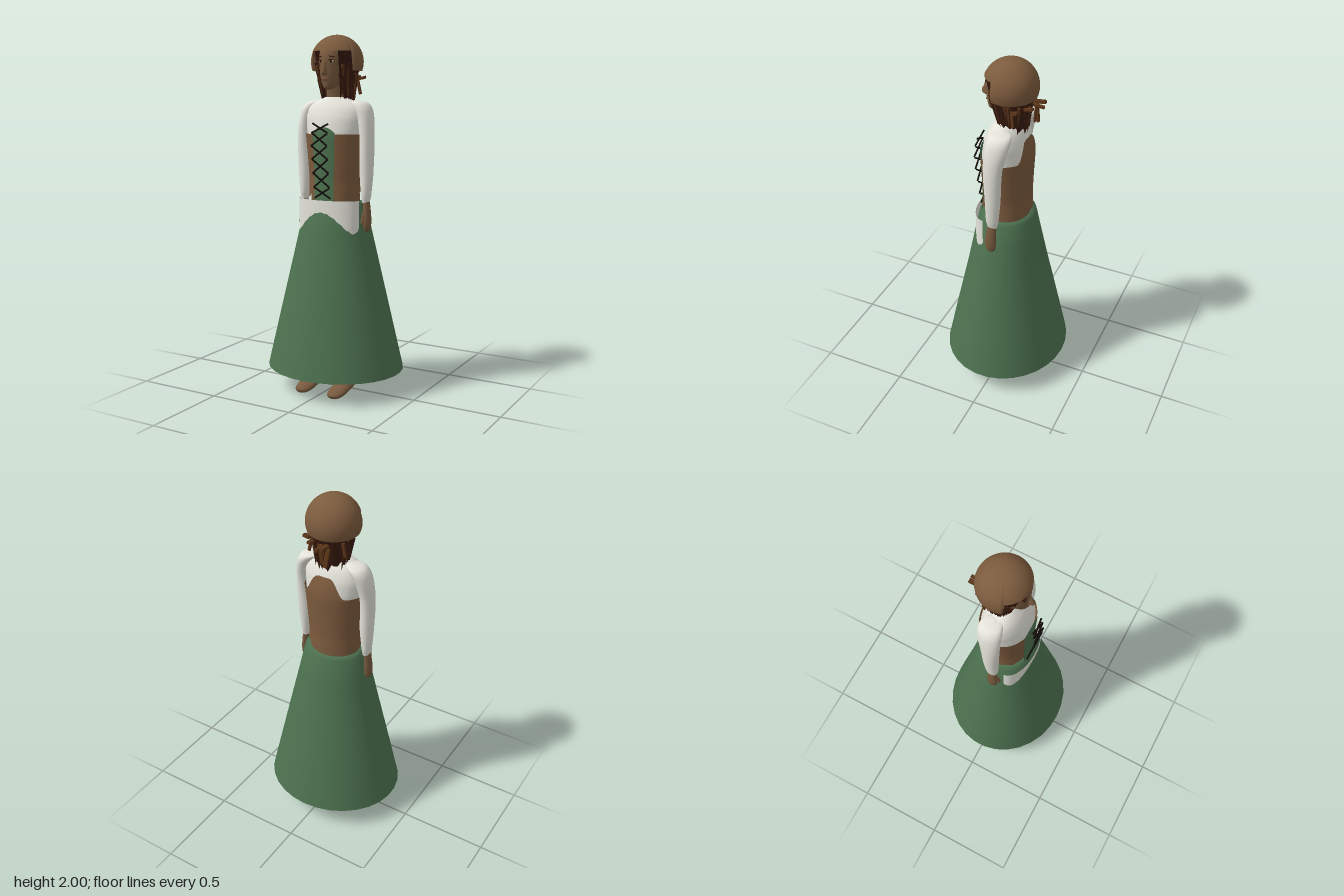
import * as THREE from 'three';
import { mergeVertices } from 'three/addons/utils/BufferGeometryUtils.js';

const mat = (name, color, side = THREE.FrontSide) => {
  const m = new THREE.MeshStandardMaterial({ color, side });
  m.name = name;
  return m;
};

// Smooth surface from a rule f(u, v) -> [x, y, z]; u runs right, v runs up
function grid(f, nu, nv) {
  const pos = [], idx = [];
  for (let j = 0; j <= nv; j++) for (let i = 0; i <= nu; i++) pos.push(...f(i / nu, j / nv));
  for (let j = 0; j < nv; j++) for (let i = 0; i < nu; i++) {
    const a = j * (nu + 1) + i, b = a + nu + 1;
    idx.push(a, a + 1, b + 1, a, b + 1, b);
  }
  const g = new THREE.BufferGeometry();
  g.setAttribute('position', new THREE.Float32BufferAttribute(pos, 3));
  g.setIndex(idx);
  const m = mergeVertices(g, 1e-5);
  m.computeVertexNormals();
  return m;
}

// Loft through horizontal ellipses [y, x, z, rx, rz], listed upwards
function loft(rows, sides = 20, steps = 4) {
  const mid = new THREE.CatmullRomCurve3(rows.map(r => new THREE.Vector3(r[1], r[0], r[2])));
  const rad = new THREE.SplineCurve(rows.map(r => new THREE.Vector2(r[3], r[4])));
  return grid((u, v) => {
    const c = mid.getPoint(v), r = rad.getPoint(v), a = u * Math.PI * 2;
    return [c.x + Math.max(r.x, 0) * Math.sin(a), c.y, c.z + Math.max(r.y, 0) * Math.cos(a)];
  }, sides, (rows.length - 1) * steps);
}

// Torso half-width and half-depth by height
const TORSO = [[1.0, .15, .13], [1.1, .14, .125], [1.2, .137, .12], [1.35, .15, .125],
  [1.46, .162, .13], [1.55, .172, .112], [1.61, .16, .085], [1.64, .11, .06], [1.66, .055, .045]];
function torso(y) {
  let i = 0;
  while (i < TORSO.length - 2 && y > TORSO[i + 1][0]) i++;
  const [a, b] = [TORSO[i], TORSO[i + 1]], t = (y - a[0]) / (b[0] - a[0]);
  return [a[1] + (b[1] - a[1]) * t, a[2] + (b[2] - a[2]) * t];
}
// Strip around the torso between angles, with bottom and top heights by angle
const wrap = (a0, a1, bottom, top, gap, nu, nv) => grid((u, v) => {
  const a = a0 + (a1 - a0) * u, y = bottom(a) + (top(a) - bottom(a)) * v, [rx, rz] = torso(y);
  return [(rx + gap) * Math.sin(a), y, (rz + gap) * Math.cos(a)];
}, nu, nv);

export function createModel() {
  const model = new THREE.Group();
  const TAU = Math.PI * 2, D = THREE.DoubleSide;
  const skin = mat('skin', 0x785a3e), leather = mat('leather', 0x7c5b3d, D), green = mat('green cloth', 0x4d7250, D);
  const white = mat('white linen', 0xe4e3da, D), hair = mat('dark hair', 0x34180d, D), strand = mat('light hair', 0x5c3519);
  const lace = mat('black lace', 0x120d09), eyeWhite = mat('eye white', 0xb9a88f), lip = mat('lips', 0x6a4434);
  let seed = 7;
  const rnd = () => (seed = (seed * 16807) % 2147483647) / 2147483647;
  const add = (name, geo, m, x = 0, y = 0, z = 0) => {
    const mesh = new THREE.Mesh(geo, m);
    mesh.name = name;
    mesh.position.set(x, y, z);
    model.add(mesh);
    return mesh;
  };
  const ball = (name, m, x, y, z, sx, sy, sz) =>
    add(name, new THREE.SphereGeometry(1, 14, 10), m, x, y, z).scale.set(sx, sy, sz);

  // Skirt, open below, with a lip turned in at the waist
  const skirt = [[.397, .357, .13], [.318, .285, .465], [.258, .228, .72], [.21, .188, .92], [.174, .157, 1.075], [.14, .125, 1.085]];
  add('skirt', grid((u, v) => {
    const [rx, rz, y] = skirt[Math.round(v * 5)], a = u * TAU;
    return [rx * Math.sin(a), y, rz * Math.cos(a)];
  }, 30, 5), green);

  // Apron hanging from the waist into the skirt
  add('apron', grid((u, v) => {
    const a = (u - .5) * Math.PI;
    return [.187 * Math.sin(a), .2 + .9 * v, .07 + .095 * Math.cos(a)];
  }, 24, 6), white);

  // Body, blouse and bodice
  add('waist', wrap(0, TAU, () => 1.0, () => 1.42, 0, 32, 10), skin);
  add('blouse', wrap(0, TAU, () => 1.38, () => 1.66, .004, 32, 14), white);
  const bodiceTop = a => 1.46 + .11 * (1 - THREE.MathUtils.smoothstep(Math.abs(a - Math.PI), .2, .75));
  const bodiceBottom = a => 1.125 + .018 * Math.sin(a * 9);
  add('bodice', wrap(.38, TAU - .38, bodiceBottom, bodiceTop, .013, 60, 14), leather);
  add('frontPanel', wrap(-.4, .4, () => 1.08, a => 1.5 - .2 * a * a, .017, 10, 10), green);

  // Crossed laces standing off the panel
  const laceZ = new THREE.SplineCurve([[1.11, .143], [1.25, .163], [1.4, .18], [1.52, .165]].map(p => new THREE.Vector2(...p)));
  for (let i = 0; i < 6; i++) for (const s of [-1, 1]) {
    const [p, q] = [laceZ.getPoint(i / 6), laceZ.getPoint((i + 1) / 6)];
    const line = new THREE.LineCurve3(new THREE.Vector3(-s * .05, p.x, p.y), new THREE.Vector3(s * .05, q.x, q.y));
    add('lace', new THREE.TubeGeometry(line, 1, .005, 6), lace);
  }

  // Limbs, mirrored
  for (const s of [-1, 1]) {
    add('sleeve', loft([[1.085, s * .196, .006, .02, .028], [1.12, s * .197, .006, .026, .035], [1.25, s * .197, .002, .037, .043],
      [1.45, s * .198, 0, .038, .053], [1.56, s * .18, -.012, .043, .064], [1.61, s * .155, -.018, .05, .065],
      [1.635, s * .13, -.02, .045, .05], [1.645, s * .11, -.02, 0, 0]]), white);
    add('hand', loft([[.915, s * .207, .012, 0, 0], [.935, s * .207, .012, .017, .024], [.98, s * .208, .012, .02, .032],
      [1.04, s * .205, .01, .019, .028], [1.11, s * .196, .006, .018, .024]], 14), skin);
    const thumb = add('thumb', new THREE.CapsuleGeometry(.009, .05, 4, 8), skin, s * .195, 1.0, .04);
    thumb.rotation.x = -.25;
    add('leg', loft([[.05, s * .1, -.02, .045, .045], [.14, s * .1, -.015, .041, .042], [.35, s * .095, -.02, .055, .058],
      [.52, s * .09, -.005, .05, .052], [.9, s * .08, 0, .075, .08], [1.05, s * .07, 0, .068, .08]]), skin);
    const foot = add('foot', loft([[-.072, 0, -.07, 0, 0], [-.06, 0, -.072, .032, .03], [-.02, 0, -.075, .046, .046], [.04, 0, -.06, .05, .042],
      [.1, 0, -.043, .053, .033], [.17, 0, -.027, .05, .026], [.215, 0, -.02, .035, .018], [.23, 0, -.02, 0, 0]]), skin, s * .104);
    foot.rotation.x = Math.PI / 2;

    // Eyes, brows and pupils
    ball('eye', eyeWhite, s * .033, 1.853, .105, .014, .007, .005);
    ball('pupil', lace, s * .033, 1.853, .109, .007, .007, .003);
    add('upperLid', new THREE.BoxGeometry(.03, .004, .006), hair, s * .033, 1.861, .109).rotation.y = s * .25;
    add('brow', new THREE.BoxGeometry(.034, .006, .006), hair, s * .035, 1.878, .106).rotation.set(0, s * .25, s * -.12);
  }

  // Neck and head
  add('neck', loft([[1.62, 0, -.01, .062, .052], [1.67, 0, -.005, .055, .05], [1.76, 0, .005, .052, .055]]), skin);
  add('head', loft([[1.7, 0, .075, 0, 0], [1.708, 0, .073, .025, .03], [1.735, 0, .052, .046, .06], [1.775, 0, .032, .062, .085],
    [1.82, 0, .015, .071, .104], [1.88, 0, 0, .08, .117], [1.94, 0, -.015, .07, .1], [1.96, 0, -.015, 0, 0]], 24), skin);
  add('nose', loft([[1.776, 0, .115, 0, 0], [1.78, 0, .115, .015, .025], [1.795, 0, .115, .015, .034],
    [1.83, 0, .113, .009, .02], [1.875, 0, .107, .006, .01]], 10), skin);
  ball('lips', lip, 0, 1.756, .114, .021, .007, .006);

  // Domed cap, cut higher over the face
  add('cap', grid((u, v) => {
    const a = u * TAU, bottom = Math.min(a, TAU - a) < 1.13 ? 1.91 : 1.803;
    const t = Math.acos((bottom - 1.853) / .147) * (1 - v);
    return [.147 * Math.sin(t) * Math.sin(a), 1.853 + .147 * Math.cos(t), -.017 + .147 * Math.sin(t) * Math.cos(a)];
  }, 96, 16), leather);

  // Hair: ragged shell around the back and sides, then loose strands over it
  const hairAt = (a, y) => {
    const t = (1.91 - y) / .3;
    return [(.12 - .035 * t) * Math.sin(a), y, -.01 - .025 * t + (.13 - .05 * t) * Math.cos(a)];
  };
  const ragged = Array.from({ length: 41 }, () => rnd() * .05);
  add('hair', grid((u, v) => {
    const a = .62 + (TAU - 1.24) * u, bottom = 1.645 - .05 * (1 - Math.abs(2 * u - 1)) + ragged[Math.round(u * 40)];
    return hairAt(a, bottom + (1.915 - bottom) * v);
  }, 40, 8), hair);
  for (let i = 0; i < 70; i++) {
    const a = .66 + (TAU - 1.32) * rnd(), top = 1.85 - rnd() * .1, len = .08 + rnd() * .1;
    const p = new THREE.Vector3(...hairAt(a, top)), q = new THREE.Vector3(...hairAt(a + (rnd() - .5) * .25, Math.max(top - len, 1.6)));
    q.x *= 1.04;
    const m = add('hairStrand', new THREE.ConeGeometry(.011, p.distanceTo(q), 5), i % 6 ? hair : strand);
    m.position.copy(p).lerp(q, .5);
    m.quaternion.setFromUnitVectors(new THREE.Vector3(0, 1, 0), q.sub(p).normalize());
  }

  // Stray flat locks below the cap: x, y, z, width, height, depth, tilt
  for (const [x, y, z, w, h, d, tilt] of [[-.035, 1.775, -.165, .022, .016, .06, .1], [-.005, 1.765, -.17, .014, .014, .06, -.1],
    [-.04, 1.71, -.15, .022, .11, .01, .12], [-.008, 1.715, -.15, .016, .1, .01, -.1], [.06, 1.77, -.14, .02, .014, .05, .2],
    [.118, 1.765, -.09, .035, .014, .03, .2], [.108, 1.72, -.07, .014, .09, .012, .15], [-.1, 1.74, -.08, .014, .08, .012, -.1]])
    add('strayLock', new THREE.BoxGeometry(w, h, d), strand, x, y, z).rotation.set(tilt, 0, tilt);

  return model;
}
